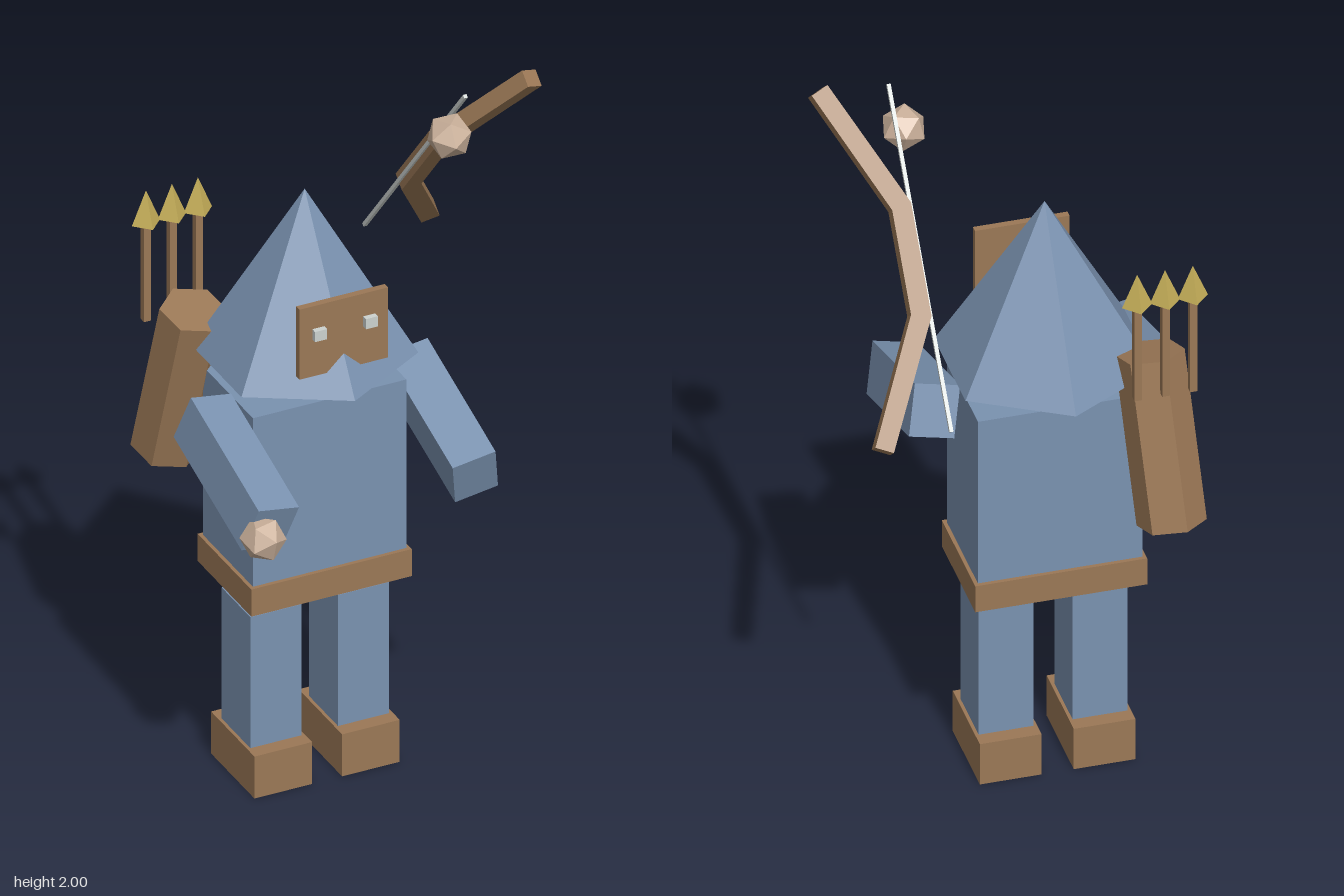
import * as THREE from 'three';

function material(name, color) {
  const m = new THREE.MeshStandardMaterial({ color });
  m.name = name;
  m.flatShading = true;
  return m;
}

export function createModel() {
  const blue = material('blue cloth', 0x7a92b0);
  const brown = material('brown leather', 0x9b7856);
  const skin = material('skin', 0xcab09a);
  const gold = material('gold', 0xc4ad58);
  const pale = material('pale grey', 0xcdd2cf);

  const model = new THREE.Group();
  model.name = 'archer';
  const cx = -0.09, cz = -0.033; // body axis

  function add(name, geometry, mat, x, y, z, parent = model) {
    const mesh = new THREE.Mesh(geometry, mat);
    mesh.name = name;
    mesh.position.set(x, y, z);
    parent.add(mesh);
    return mesh;
  }
  const box = (w, h, d) => new THREE.BoxGeometry(w, h, d);

  // Torso and belt
  add('torso', box(0.434, 0.498, 0.286), blue, cx, 0.886, cz);
  add('belt', box(0.454, 0.08, 0.308), brown, cx, 0.597, cz);

  // Hooded hat, mask and eyes
  add('hat', new THREE.ConeGeometry(0.289, 0.473, 6), blue, cx, 1.4435, cz);
  add('mask', box(0.25, 0.207, 0.019), brown, cx, 1.3715, 0.1815);

  // Mirrored parts: -1 is the model's right, 1 its left
  for (const s of [-1, 1]) {
    const side = s < 0 ? 'right' : 'left';
    add(side + 'Eye', box(0.034, 0.03, 0.019), pale, cx + s * 0.072, 1.393, 0.1975);
    add(side + 'Leg', box(0.145, 0.388, 0.165), blue, cx + s * 0.124, 0.317, -0.029);
    add(side + 'Shoe', box(0.163, 0.124, 0.249), brown, cx + s * 0.124, 0.062, -0.029);
    const arm = add(side + 'Arm', box(0.12, 0.41, 0.14), blue, cx + s * 0.29, 1.024, 0.163);
    arm.rotation.set(-1.257, -s * 0.2, 0);
  }

  // Faceted hands
  const hand = new THREE.IcosahedronGeometry(0.061, 0);
  add('rightHand', hand, skin, -0.414, 0.955, 0.385).rotation.set(0.3, 0.2, 0);
  add('leftHand', hand, skin, 0.23, 1.848, 0.148).rotation.set(-0.5, -0.2, 0);

  // Bow: angular outline, tilted forward
  const bow = new THREE.Group();
  bow.name = 'bow';
  bow.position.set(0, 1.622, -0.119);
  bow.rotation.x = 0.698;
  model.add(bow);
  const half = [[0.317, 0.135], [0.47, 0.455], [0.425, 0.476], [0.265, 0.147]];
  const outline = [...half, ...half.map(([x, y]) => [x, -y]).reverse()];
  const bowShape = new THREE.Shape(outline.map(([x, y]) => new THREE.Vector2(x, y)));
  const bowGeo = new THREE.ExtrudeGeometry(bowShape, { depth: 0.046, bevelEnabled: false });
  add('bowLimbs', bowGeo, brown, 0, 0, -0.023, bow);
  add('bowString', box(0.01, 0.9, 0.01), pale, 0.263, 0.005, 0, bow);

  // Quiver leaning against the back
  const quiver = add('quiver', new THREE.CylinderGeometry(0.09, 0.09, 0.47, 6), brown, -0.33, 1.06, -0.264);
  quiver.rotation.set(0.245, 0.2, -0.055, 'XZY');

  // Arrows
  for (let i = 0; i < 3; i++) {
    const x = -0.401 + i * 0.0735;
    add('arrowShaft', box(0.02, 0.29, 0.02), brown, x, 1.37, -0.313);
    add('arrowHead', new THREE.ConeGeometry(0.04, 0.096, 4), gold, x, 1.559, -0.313);
  }

  return model;
}
